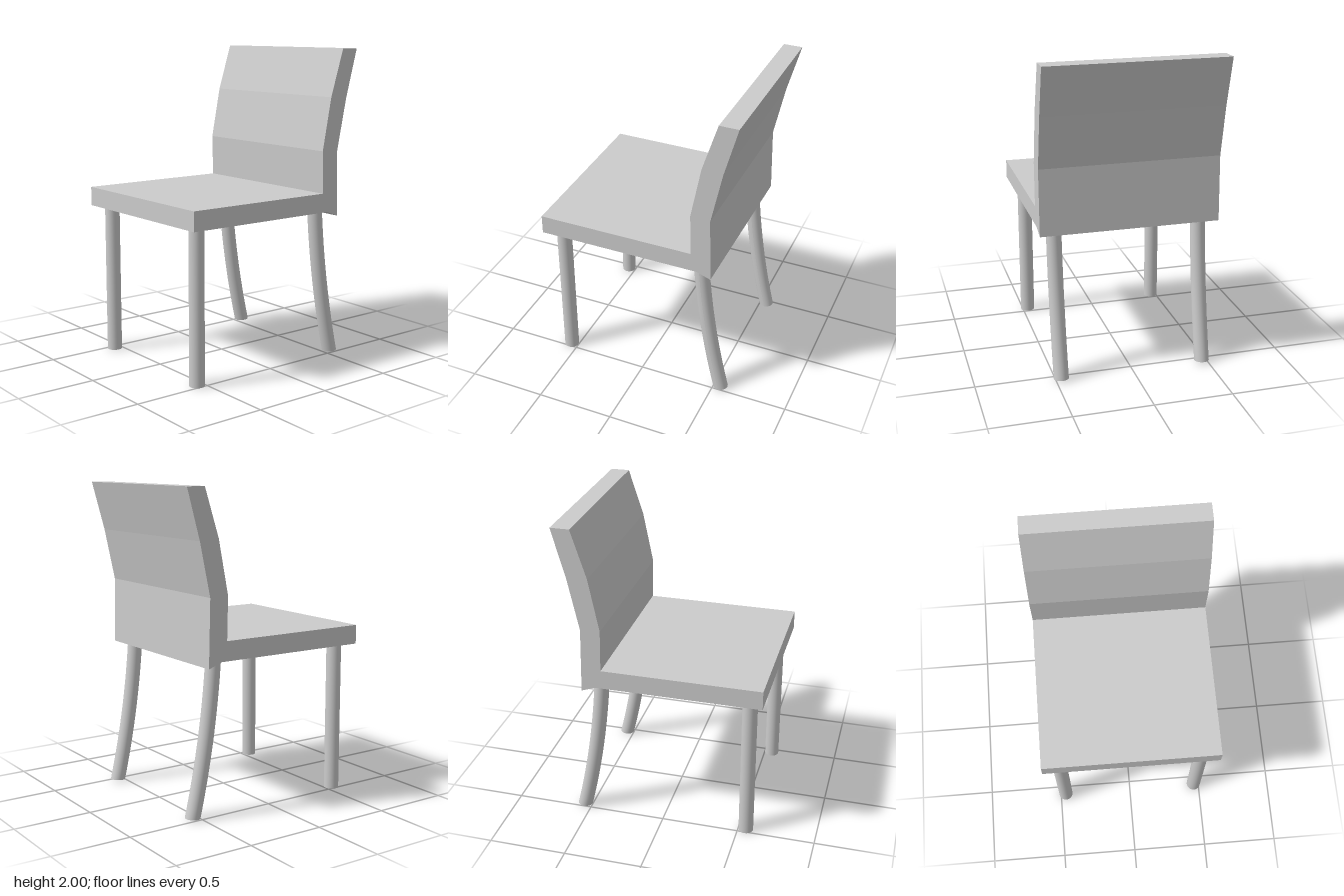
import * as THREE from 'three';

const material = new THREE.MeshStandardMaterial({ color: 0xcccccc });
const HALF_WIDTH = 0.57;
const LEG_RADIUS = 0.0475;
const LEG_TOP = 0.98;
const LEG_Z = 0.465;

// Seat and bent backrest share one side profile, extruded across the width
function seatAndBack() {
  const profile = [
    [-0.645, 0.973], [0.405, 0.973], [0.495, 0.94],
    [0.485, 1.36], [0.555, 1.69], [0.64, 2],
    [0.52, 2], [0.425, 1.7], [0.36, 1.365], [0.366, 1.095],
    [-0.645, 1.095],
  ].map(([x, y]) => new THREE.Vector2(x, y));
  const geometry = new THREE.ExtrudeGeometry(new THREE.Shape(profile), {
    depth: HALF_WIDTH * 2, bevelEnabled: false,
  });
  geometry.translate(0, 0, -HALF_WIDTH);
  const mesh = new THREE.Mesh(geometry, material);
  mesh.name = 'seatAndBackrest';
  return mesh;
}

// Straight round leg
function frontLeg(z) {
  const geometry = new THREE.CylinderGeometry(LEG_RADIUS, LEG_RADIUS, LEG_TOP, 32);
  const mesh = new THREE.Mesh(geometry, material);
  mesh.position.set(-0.55, LEG_TOP / 2, z);
  mesh.name = 'straightLeg';
  return mesh;
}

// Round leg that sweeps outward towards the floor
function backLeg(z) {
  const geometry = new THREE.CylinderGeometry(LEG_RADIUS, LEG_RADIUS, LEG_TOP, 32, 16);
  geometry.translate(0, LEG_TOP / 2, 0);
  const p = geometry.attributes.position;
  for (let i = 0; i < p.count; i++) {
    const x = p.getX(i), y = p.getY(i);
    const t = 1 - y / LEG_TOP;
    p.setX(i, x + 0.395 + 0.067 * t + 0.085 * t * t);
    p.setY(i, y + t * (0.01 + 0.07 * x)); // foot tilts slightly
  }
  geometry.computeVertexNormals();
  const mesh = new THREE.Mesh(geometry, material);
  mesh.position.z = z;
  mesh.name = 'curvedLeg';
  return mesh;
}

export function createModel() {
  const chair = new THREE.Group();
  chair.name = 'chair';
  chair.add(seatAndBack());
  for (const side of [-1, 1]) {
    chair.add(frontLeg(side * LEG_Z), backLeg(side * LEG_Z));
  }
  return chair;
}
